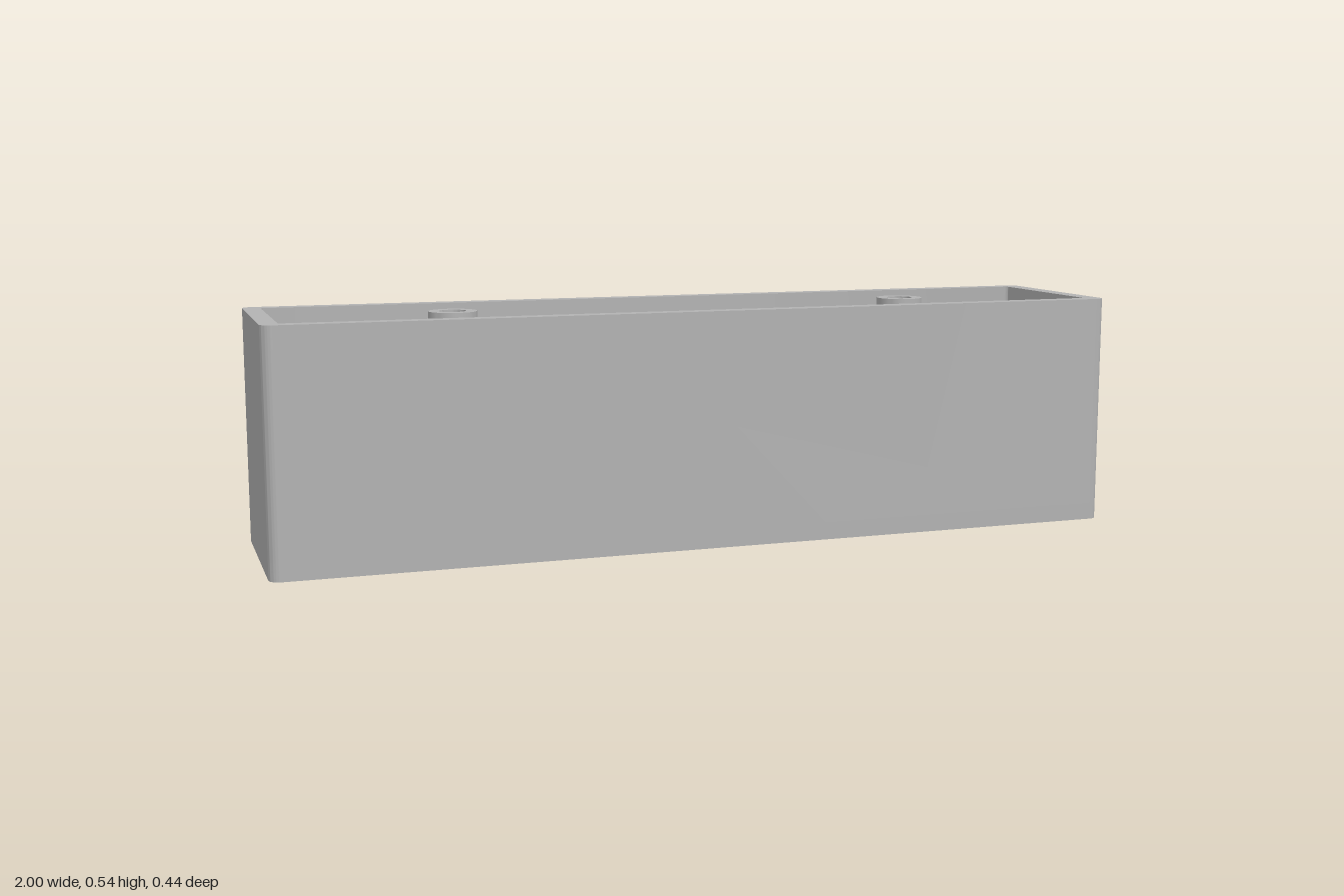
import * as THREE from 'three';
import { toCreasedNormals } from 'three/addons/utils/BufferGeometryUtils.js';

const W = 1, D = 0.222, H = 0.542;      // half width, half depth, height
const IW = 0.96, ID = 0.185;            // inner half sizes
const FLOOR = 0.04, RECESS = 0.02;
const R = 0.025, IR = 0.008;            // outer and inner corner radii
const GAP = 0.3;                        // half width of the back panel

const grey = new THREE.MeshStandardMaterial({ color: 0xb2b2b2 });
grey.name = 'grey plastic';

function part(name, geometry) {
  const mesh = new THREE.Mesh(toCreasedNormals(geometry, 0.6), grey);
  mesh.name = name;
  return mesh;
}

function roundedRect(path, x0, y0, x1, y1, r) {
  path.moveTo(x0 + r, y0);
  path.lineTo(x1 - r, y0);
  path.absarc(x1 - r, y0 + r, r, -Math.PI / 2, 0);
  path.lineTo(x1, y1 - r);
  path.absarc(x1 - r, y1 - r, r, 0, Math.PI / 2);
  path.lineTo(x0 + r, y1);
  path.absarc(x0 + r, y1 - r, r, Math.PI / 2, Math.PI);
  path.lineTo(x0, y0 + r);
  path.absarc(x0 + r, y0 + r, r, Math.PI, Math.PI * 1.5);
  return path;
}

// Extrude a plan shape (shape y = -z) upward from y0 to y1
function upright(shape, y0, y1) {
  return new THREE.ExtrudeGeometry(shape, { depth: y1 - y0, bevelEnabled: false, curveSegments: 10 })
    .rotateX(-Math.PI / 2).translate(0, y0, 0);
}

function block(name, x0, x1, y0, y1, z0, z1) {
  const g = new THREE.BoxGeometry(x1 - x0, y1 - y0, z1 - z0);
  return part(name, g.translate((x0 + x1) / 2, (y0 + y1) / 2, (z0 + z1) / 2));
}

export function createModel() {
  const model = new THREE.Group();
  model.name = 'openCase';

  // Floor: lower layer with four round foot recesses, solid layer above
  const base = roundedRect(new THREE.Shape(), -W, -D, W, D, R);
  for (const x of [-0.865, 0.865]) for (const z of [-0.113, 0.113]) {
    const hole = new THREE.Path();
    hole.absarc(x, z, 0.075, 0, Math.PI * 2, true);
    base.holes.push(hole);
  }
  model.add(part('footRecessLayer', upright(base, 0, RECESS)));
  const slab = roundedRect(new THREE.Shape(), -W, -D, W, D, R);
  model.add(part('floor', upright(slab, RECESS, FLOOR)));

  // Walls: a ring left open in the middle of the back (shape +y is the back)
  const ring = new THREE.Shape();
  ring.moveTo(-GAP, D);
  ring.lineTo(-W + R, D);
  ring.absarc(-W + R, D - R, R, Math.PI / 2, Math.PI);
  ring.absarc(-W + R, -D + R, R, Math.PI, Math.PI * 1.5);
  ring.absarc(W - R, -D + R, R, -Math.PI / 2, 0);
  ring.absarc(W - R, D - R, R, 0, Math.PI / 2);
  ring.lineTo(GAP, D);
  ring.lineTo(GAP, ID);
  ring.absarc(IW - IR, ID - IR, IR, Math.PI / 2, 0, true);
  ring.absarc(IW - IR, -ID + IR, IR, 0, -Math.PI / 2, true);
  ring.absarc(-IW + IR, -ID + IR, IR, -Math.PI / 2, -Math.PI, true);
  ring.absarc(-IW + IR, ID - IR, IR, Math.PI, Math.PI / 2, true);
  ring.lineTo(-GAP, ID);
  model.add(part('walls', upright(ring, FLOOR, H)));

  // Back panel with the rounded connector slot
  const panel = new THREE.Shape();
  panel.moveTo(-GAP, FLOOR);
  panel.lineTo(GAP, FLOOR);
  panel.lineTo(GAP, H);
  panel.lineTo(-GAP, H);
  panel.holes.push(roundedRect(new THREE.Path(), -0.09, 0.044, 0.09, 0.154, 0.035));
  model.add(part('backPanel', new THREE.ExtrudeGeometry(panel, {
    depth: D - ID, bevelEnabled: false, curveSegments: 8,
  }).translate(0, 0, -D)));

  // Screw posts with blind holes, each braced by a cross rib
  const profile = [[0.055, FLOOR], [0.055, 0.54], [0.03, 0.54], [0.03, 0.24], [0, 0.24]]
    .map(([x, y]) => new THREE.Vector2(x, y));
  for (const s of [-1, 1]) {
    const x = s * 0.555;
    model.add(part('screwPost', new THREE.LatheGeometry(profile, 40).translate(x, 0, 0)));
    for (const [z0, z1] of [[-ID, -0.05], [0.05, ID]]) {
      model.add(block('crossRib', x - 0.013, x + 0.013, FLOOR, 0.2, z0, z1));
    }
  }

  // Tray around the connector board, and a ledge under the slot
  const top = 0.085;
  for (const s of [-1, 1]) {
    const x = s * 0.135;
    model.add(block('traySide', x - 0.008, x + 0.008, FLOOR, top, -ID, 0.147));
  }
  model.add(block('trayFront', -0.127, 0.127, FLOOR, top, 0.132, 0.147));
  model.add(block('slotLedge', -0.089, 0.089, FLOOR, 0.065, -ID, -0.171));

  return model;
}
